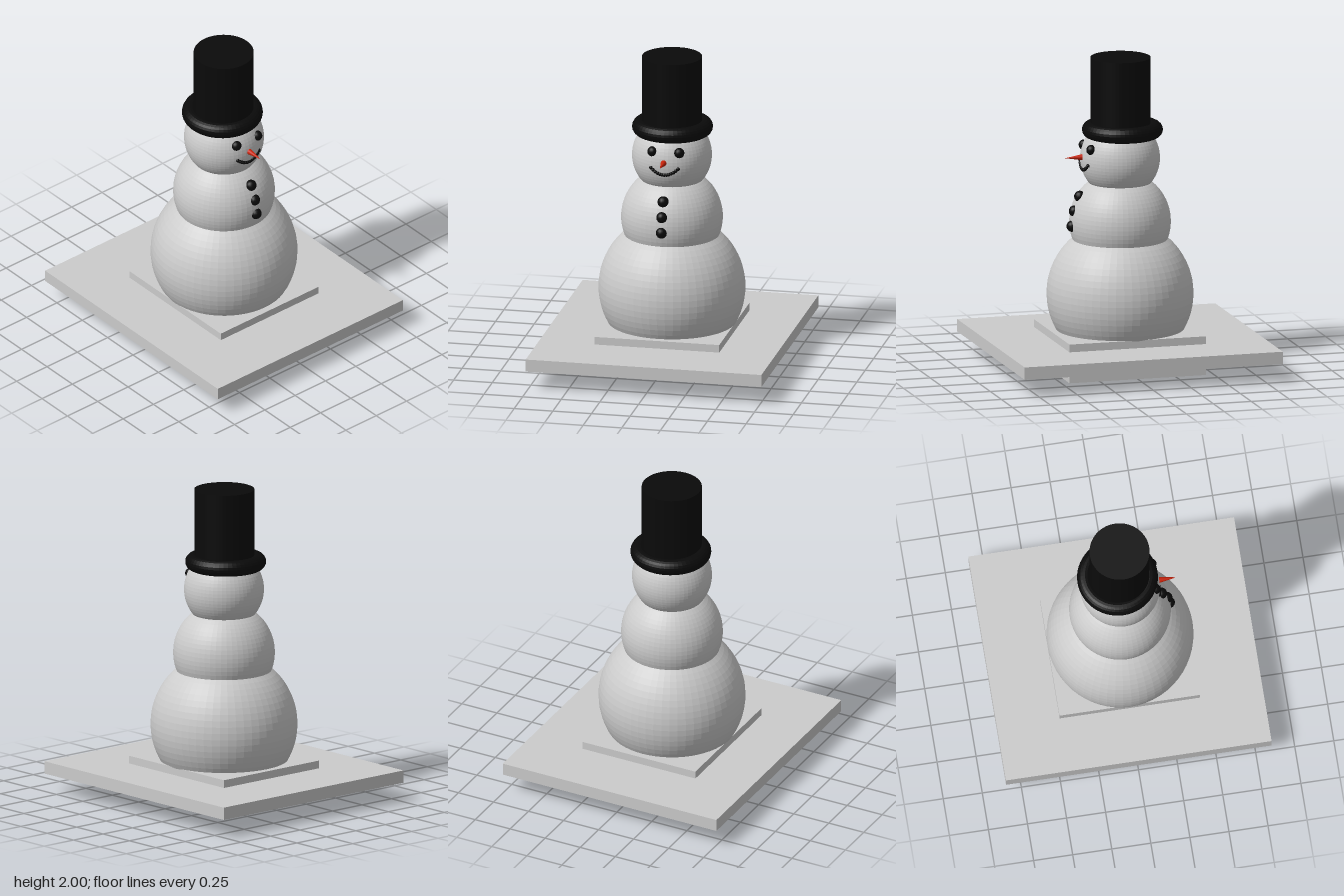
import * as THREE from 'three';

export function createModel() {
  const model = new THREE.Group();
  const material = (color) => new THREE.MeshStandardMaterial({ color, flatShading: true });
  const snow = material(0xcccccc);
  const coal = material(0x0a0a0a);
  const carrot = material(0xc8230a);

  function add(name, geometry, mat, x, y, z = 0, parent = model) {
    const mesh = new THREE.Mesh(geometry, mat);
    mesh.name = name;
    mesh.position.set(x, y, z);
    parent.add(mesh);
    return mesh;
  }
  function group(name) {
    const g = new THREE.Group();
    g.name = name;
    model.add(g);
    return g;
  }

  // Base: a wide plate threaded by a smaller block
  add('basePlate', new THREE.BoxGeometry(1.7, 0.08, 1.525), snow, 0, 0.16);
  add('baseBlock', new THREE.BoxGeometry(0.9, 0.25, 0.806), snow, 0, 0.125);

  // Three stacked snowballs
  const ball = (name, r, y) => add(name, new THREE.SphereGeometry(r, 56, 36), snow, 0, y);
  ball('lowerBody', 0.465, 0.475);
  ball('upperBody', 0.322, 0.94);
  const headRadius = 0.253, headY = 1.35;
  ball('head', headRadius, headY);

  // Top hat: rounded brim and tall crown
  const hat = group('hat');
  add('brim', new THREE.TorusGeometry(0.206, 0.05, 20, 56), coal, -0.016, 1.532, 0, hat)
    .rotation.x = Math.PI / 2;
  add('crown', new THREE.CylinderGeometry(0.19, 0.19, 0.5, 56), coal, -0.003, 1.75, 0, hat);

  // Depth of the head's surface at a given height and side offset
  const faceX = (y, z) => Math.sqrt(headRadius ** 2 - (y - headY) ** 2 - z ** 2);

  // Face, looking along +x
  const face = group('face');
  const eye = new THREE.SphereGeometry(0.033, 24, 16);
  add('leftEye', eye, coal, 0.215, 1.43, -0.093, face);
  add('rightEye', eye, coal, 0.215, 1.43, 0.079, face);

  add('nose', new THREE.ConeGeometry(0.022, 0.13, 24), carrot, 0.297, 1.367, 0, face)
    .rotation.z = -Math.PI / 2;

  // Smile: a row of small pebbles along a curve
  const pebble = new THREE.SphereGeometry(0.012, 12, 8);
  const count = 13;
  for (let i = 0; i < count; i++) {
    const t = (i / (count - 1)) * 2 - 1;
    const z = t * 0.087 - 0.003;
    const y = 1.288 + 0.041 * t * t;
    add('mouthPebble', pebble, coal, faceX(y, z), y, z, face);
  }

  // Buttons down the chest
  const buttons = group('buttons');
  const button = new THREE.SphereGeometry(0.036, 24, 16);
  for (const [x, y] of [[0.265, 1.115], [0.3, 1.022], [0.315, 0.925]]) {
    add('button', button, coal, x, y, 0, buttons);
  }

  return model;
}
